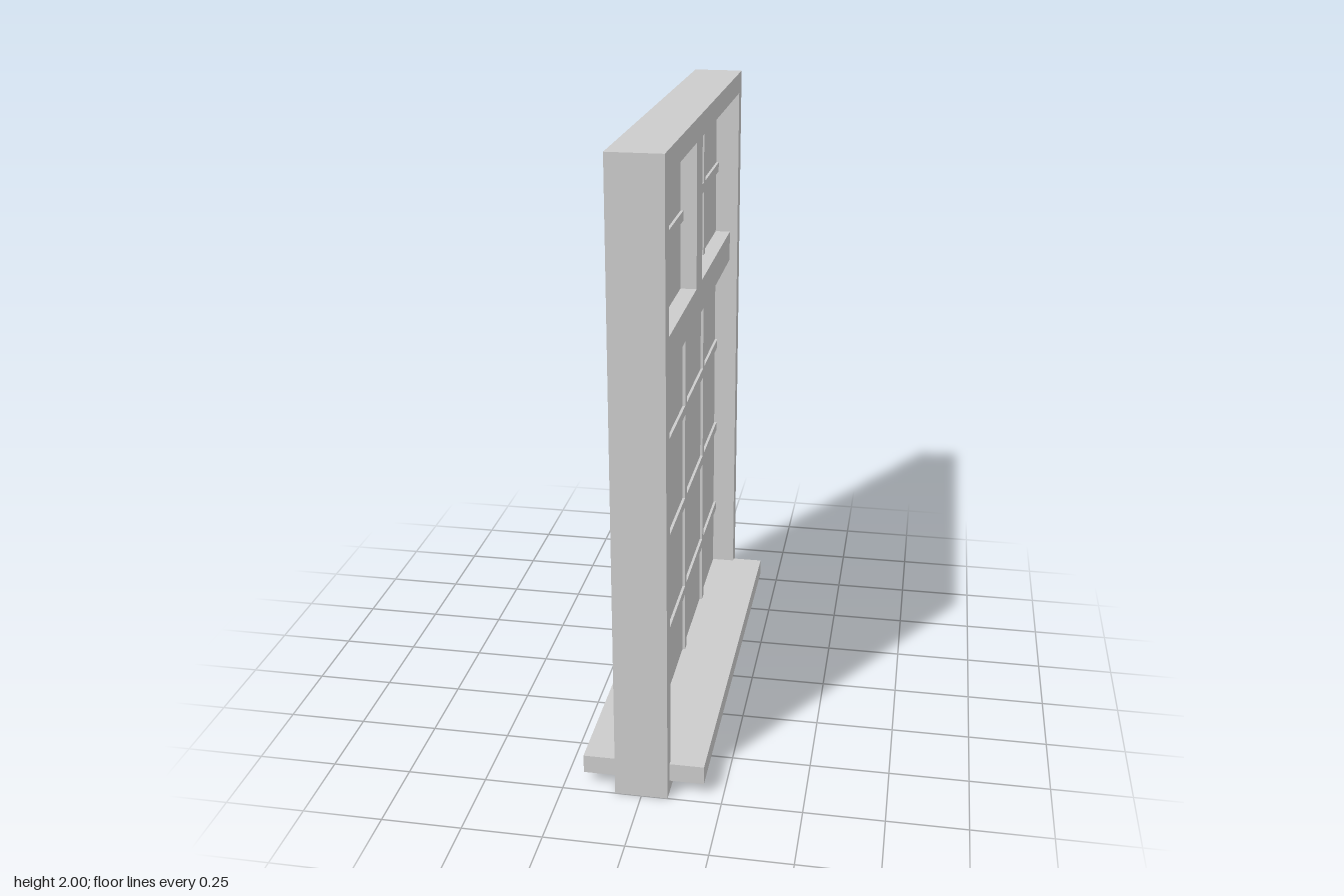
import * as THREE from 'three';

const H = 2, W = 1.5;              // overall height (y) and width (z)
const FRAME_T = 0.165;             // frame thickness (x)
const SIDE = 0.055, TOP = 0.07;    // frame borders
const INNER = W / 2 - SIDE;        // half width of the opening
const BAR = 0.032, BAR_T = 0.024;  // glazing bar face width and thickness

export function createModel() {
  const group = new THREE.Group();
  const mat = new THREE.MeshStandardMaterial({ color: 0xcccccc });

  // box centred on x = 0, given by its y and z ranges
  const box = (name, thick, y0, y1, z0, z1) => {
    const mesh = new THREE.Mesh(new THREE.BoxGeometry(thick, y1 - y0, z1 - z0), mat);
    mesh.position.set(0, (y0 + y1) / 2, (z0 + z1) / 2);
    mesh.name = name;
    group.add(mesh);
  };

  // outer frame: rectangle with an opening, extruded through the wall
  const outline = new THREE.Shape([
    new THREE.Vector2(-W / 2, 0), new THREE.Vector2(W / 2, 0),
    new THREE.Vector2(W / 2, H), new THREE.Vector2(-W / 2, H),
  ]);
  outline.holes.push(new THREE.Path([
    new THREE.Vector2(-INNER, TOP), new THREE.Vector2(-INNER, H - TOP),
    new THREE.Vector2(INNER, H - TOP), new THREE.Vector2(INNER, TOP),
  ]));
  const frameGeo = new THREE.ExtrudeGeometry(outline, { depth: FRAME_T, bevelEnabled: false });
  frameGeo.translate(0, 0, -FRAME_T / 2).rotateY(Math.PI / 2);
  const frame = new THREE.Mesh(frameGeo, mat);
  frame.name = 'frame';
  group.add(frame);

  // sill projecting on both faces
  box('sill', 0.38, 0.04, 0.1, -0.713, 0.713);

  // transom and the short mullion above it
  box('transom', 0.11, 1.325, 1.43, -INNER, INNER);
  box('mullion', 0.11, 1.43, H - TOP, -0.055, 0.055);

  // glass pane
  box('pane', 0.006, TOP, H - TOP, -INNER, INNER);

  // glazing bars on a grid of 4 columns by 6 rows
  for (let i = 1; i < 4; i++) {
    const z = -W / 2 + (i * W) / 4;
    box('verticalBar', BAR_T, TOP, H - TOP, z - BAR / 2, z + BAR / 2);
  }
  for (let i = 1; i < 6; i++) {
    const y = (i * H) / 6;
    box('horizontalBar', BAR_T, y - BAR / 2, y + BAR / 2, -INNER, INNER);
  }
  return group;
}
